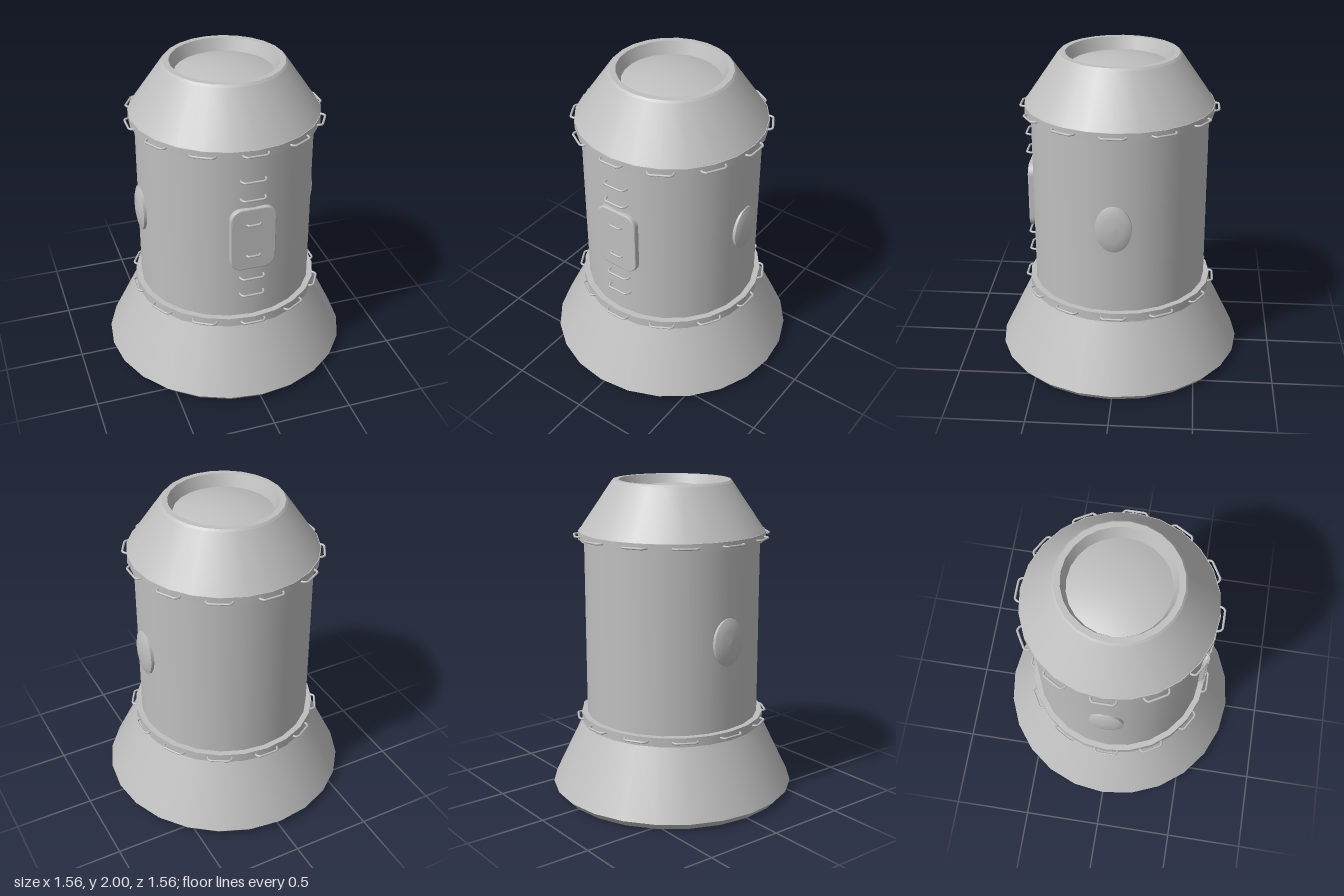
import * as THREE from 'three';
import { mergeGeometries } from 'three/addons/utils/BufferGeometryUtils.js';

const SIDES = 24;
const grey = new THREE.MeshStandardMaterial({ color: 0xbfbfbf });
grey.name = 'light grey';

function add(parent, name, geometry) {
  const mesh = new THREE.Mesh(geometry, grey);
  mesh.name = name;
  parent.add(mesh);
  return mesh;
}

// Turned shell: every profile step is its own band, so edges stay crisp
function turned(points) {
  const bands = [];
  for (let i = 0; i < points.length - 1; i++) {
    const pair = [points[i], points[i + 1]].map(([r, y]) => new THREE.Vector2(r, y));
    bands.push(new THREE.LatheGeometry(pair, SIDES));
  }
  return mergeGeometries(bands);
}

// Shallow smooth dome; dir = 1 bulges up, -1 bulges down
function dome(radius, rimY, height, dir) {
  const R = (radius * radius + height * height) / (2 * height);
  const max = Math.asin(radius / R);
  const pts = [];
  for (let i = 0; i <= 8; i++) {
    const a = max * (dir > 0 ? 1 - i / 8 : i / 8);
    pts.push(new THREE.Vector2(R * Math.sin(a), rimY + dir * (R * Math.cos(a) - R + height)));
  }
  return new THREE.LatheGeometry(pts, SIDES);
}

// Staple-shaped grab rail, standing off along +z
function rail(halfWidth, depth) {
  const v = (x, z) => new THREE.Vector3(x, 0, z);
  const w = halfWidth - 0.007;
  const path = new THREE.CatmullRomCurve3([
    v(-w, -0.015), v(-w, depth * 0.3), v(-w * 0.8, depth * 0.95), v(-w * 0.5, depth),
    v(w * 0.5, depth), v(w * 0.8, depth * 0.95), v(w, depth * 0.3), v(w, -0.015),
  ], false, 'centripetal');
  return new THREE.TubeGeometry(path, 28, 0.007, 8);
}

function roundedRect(w, h, r) {
  const s = new THREE.Shape();
  const x = w / 2, y = h / 2;
  s.moveTo(-x + r, -y);
  s.lineTo(x - r, -y);
  s.absarc(x - r, -y + r, r, -Math.PI / 2, 0);
  s.lineTo(x, y - r);
  s.absarc(x - r, y - r, r, 0, Math.PI / 2);
  s.lineTo(-x + r, y);
  s.absarc(-x + r, y - r, r, Math.PI / 2, Math.PI);
  s.lineTo(-x, -y + r);
  s.absarc(-x + r, -y + r, r, Math.PI, Math.PI * 1.5);
  return s;
}

export function createModel() {
  const model = new THREE.Group();
  model.name = 'capsuleModule';

  // Flared base with hollow underside
  add(model, 'baseSkirt', turned([
    [0.61, 0.13], [0.655, 0], [0.74, 0], [0.78, 0.045], [0.58, 0.46],
  ]));
  add(model, 'lowerDome', dome(0.615, 0.13, 0.1, -1));

  // Main body and its two collars
  add(model, 'lowerCollar', turned([[0.58, 0.46], [0.587, 0.46], [0.587, 0.517], [0.54, 0.517]]));
  add(model, 'hull', turned([[0.55, 0.5], [0.55, 1.66]]));
  add(model, 'upperCollar', turned([[0.54, 1.638], [0.587, 1.638], [0.587, 1.688], [0.575, 1.688]]));

  // Tapered top with recessed opening
  add(model, 'topCone', turned([
    [0.583, 1.688], [0.378, 1.987], [0.366, 2], [0.33, 2], [0.3, 1.92],
  ]));
  add(model, 'upperDome', dome(0.305, 1.922, 0.05, 1));

  // Grab rails around both collars
  const collarRail = rail(0.082, 0.03);
  for (const [name, y] of [['lowerCollarRail', 0.49], ['upperCollarRail', 1.662]]) {
    for (let i = 0; i < 12; i++) {
      const a = (i * Math.PI) / 6;
      const m = add(model, name, collarRail);
      m.position.set(Math.sin(a) * 0.578, y, Math.cos(a) * 0.578);
      m.rotation.y = a;
    }
  }

  // Front hatch
  const hatch = add(model, 'hatch', new THREE.ExtrudeGeometry(roundedRect(0.27, 0.41, 0.065), {
    depth: 0.05, bevelThickness: 0.008, bevelSize: 0.008, bevelSegments: 2, curveSegments: 8,
  }));
  hatch.position.set(0, 1.08, 0.508);

  // Ladder rungs above, on and below the hatch
  const rung = rail(0.082, 0.033);
  for (const y of [1.478, 1.357, 0.802, 0.68]) {
    add(model, 'rung', rung).position.set(0, y, 0.545);
  }
  const hatchRung = rail(0.048, 0.018);
  for (const y of [1.187, 0.968]) {
    add(model, 'hatchRung', hatchRung).position.set(0, y, 0.562);
  }

  // Oval side windows
  const lens = mergeGeometries([
    new THREE.LatheGeometry([[1, 0], [1, 0.555]].map(([r, y]) => new THREE.Vector2(r, y - 0.5 * (y === 0 ? -1 : 1))), 32),
    new THREE.LatheGeometry([[1, 0.055], [0.8, 0.066], [0.5, 0.074], [0, 0.078]].map(([r, y]) => new THREE.Vector2(r, y)), 32),
  ]);
  lens.dispose();
  const side = new THREE.LatheGeometry([new THREE.Vector2(1, 0), new THREE.Vector2(1, 0.055)], 32);
  const face = new THREE.LatheGeometry(
    [[1, 0.055], [0.8, 0.066], [0.5, 0.074], [0, 0.078]].map(([r, y]) => new THREE.Vector2(r, y)), 32);
  const windowGeometry = mergeGeometries([side, face]);
  windowGeometry.scale(0.148, 1, 0.11);
  windowGeometry.rotateZ(-Math.PI / 2);
  for (const s of [1, -1]) {
    const m = add(model, s > 0 ? 'leftWindow' : 'rightWindow', windowGeometry);
    m.position.set(s * 0.5, 1.072, 0);
    m.rotation.y = s > 0 ? 0 : Math.PI;
  }

  return model;
}
